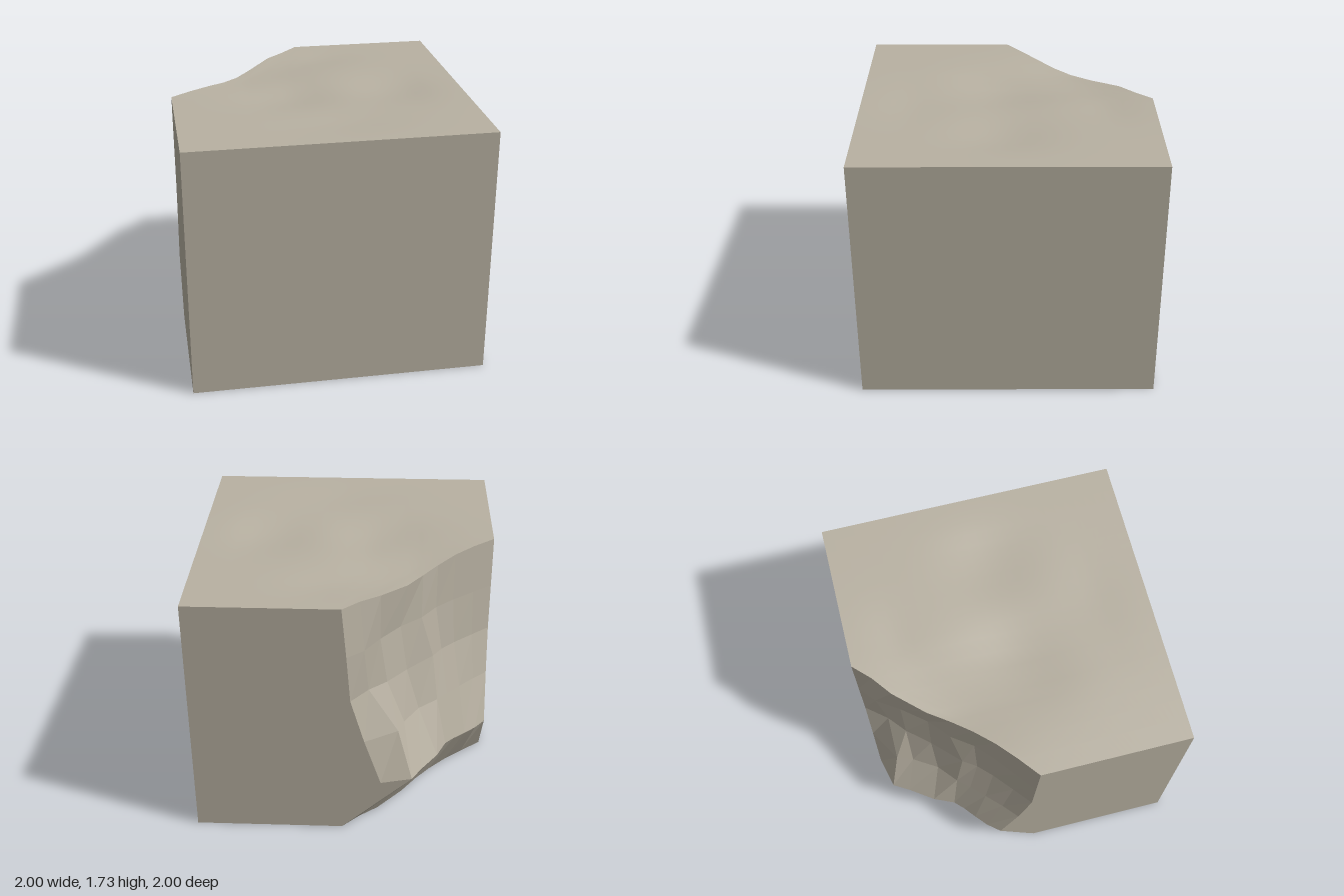
import * as THREE from 'three';

const H = 1.73;

// Gentle hollows on the top, fading out towards the straight edges: x, z, radius, depth
const bumps = [[-0.2, 0.05, 0.3, -0.04], [-0.42, -0.5, 0.38, -0.045], [0.12, -0.75, 0.25, -0.015], [0.5, 0.05, 0.3, -0.03], [0.1, 0.65, 0.35, -0.015]];
function topHeight(x, z) {
  const fade = Math.min(1, 3 * (1 - Math.abs(x))) * Math.min(1, 3 * (1 - Math.abs(z)));
  return H + fade * bumps.reduce((h, [bx, bz, r, a]) => h + a * Math.exp(-((x - bx) ** 2 + (z - bz) ** 2) / (r * r)), 0);
}

// Cliff rows from top to bottom: height and [x, z] points from the back edge to the side edge
const rim = [[0, -1], [-0.11, -0.89], [-0.24, -0.79], [-0.41, -0.6], [-0.51, -0.46], [-0.61, -0.34], [-0.73, -0.22], [-0.86, -0.11], [-1, 0]];
const rows = [
  { y: H, pts: rim },
  { y: 1.38, pts: [[-0.03, -1], [-0.14, -0.91], [-0.24, -0.76], [-0.37, -0.6], [-0.51, -0.48], [-0.61, -0.34], [-0.73, -0.23], [-0.87, -0.12], [-1, -0.02]] },
  { y: 1.05, pts: [[-0.055, -1], [-0.17, -0.86], [-0.29, -0.76], [-0.42, -0.61], [-0.6, -0.43], [-0.66, -0.34], [-0.75, -0.25], [-0.88, -0.14], [-1, -0.04]] },
  { y: 0.73, pts: [[-0.147, -1], [-0.37, -0.87], [-0.41, -0.76], [-0.51, -0.6], [-0.64, -0.49], [-0.71, -0.41], [-0.8, -0.32], [-0.9, -0.22], [-1, -0.13]] },
  { y: 0.39, pts: [[-0.26, -1], [-0.47, -0.95], [-0.535, -0.84], [-0.647, -0.68], [-0.71, -0.54], [-0.77, -0.48], [-0.85, -0.415], [-0.93, -0.345], [-1, -0.26]] },
  { y: 0, pts: rim },
];

// Faceted rock face, two triangles per cell
function cliffGeometry() {
  const pos = [];
  const at = (i, j) => {
    const [x, z] = rows[i].pts[j];
    return [x, i === 0 ? topHeight(x, z) : rows[i].y, z];
  };
  for (let i = 0; i < rows.length - 1; i++) {
    for (let j = 0; j < rim.length - 1; j++) {
      const a = at(i, j), b = at(i, j + 1), c = at(i + 1, j), d = at(i + 1, j + 1);
      pos.push(...a, ...c, ...b, ...b, ...c, ...d);
    }
  }
  const g = new THREE.BufferGeometry();
  g.setAttribute('position', new THREE.Float32BufferAttribute(pos, 3));
  g.computeVertexNormals();
  return g;
}

// Top surface: columns run from the rim (or back edge) to the front edge
function topGeometry() {
  const cols = [...rim].reverse();
  for (let i = 1; i <= 12; i++) cols.push([i / 12, -1]);
  const n = 28;
  const g = new THREE.PlaneGeometry(1, 1, cols.length - 1, n);
  const p = g.attributes.position;
  for (let k = 0; k < p.count; k++) {
    const [x, back] = cols[k % cols.length];
    const z = back + (1 - back) * Math.floor(k / cols.length) / n;
    p.setXYZ(k, x, topHeight(x, z), z);
  }
  g.computeVertexNormals();
  return g;
}

function flat(points) {
  return new THREE.ShapeGeometry(new THREE.Shape(points.map(([u, v]) => new THREE.Vector2(u, v))));
}

export function createModel() {
  const group = new THREE.Group();
  group.name = 'cliffCornerBlock';
  const stone = new THREE.MeshStandardMaterial({ color: 0xb8b1a2, side: THREE.DoubleSide });
  stone.name = 'stone';
  const add = (name, geometry) => {
    const mesh = new THREE.Mesh(geometry, stone);
    mesh.name = name;
    group.add(mesh);
  };

  // Open shell: the underside stays empty
  add('cliffFace', cliffGeometry());
  add('topGround', topGeometry());

  // Full walls
  add('frontWall', new THREE.PlaneGeometry(2, H).translate(0, H / 2, 1));
  add('plainSideWall', new THREE.PlaneGeometry(2, H).rotateY(Math.PI / 2).translate(1, H / 2, 0));

  // Walls that end in the cliff profile
  const last = rim.length - 1;
  const backEdge = rows.map((r) => [-r.pts[0][0], r.y]);
  add('backWall', flat([[-1, H], [-1, 0], ...backEdge.reverse()]).rotateY(Math.PI).translate(0, 0, -1));
  const sideEdge = rows.map((r) => [r.pts[last][1], r.y]);
  add('cutSideWall', flat([...sideEdge, [1, 0], [1, H]]).rotateY(-Math.PI / 2).translate(-1, 0, 0));
  return group;
}
